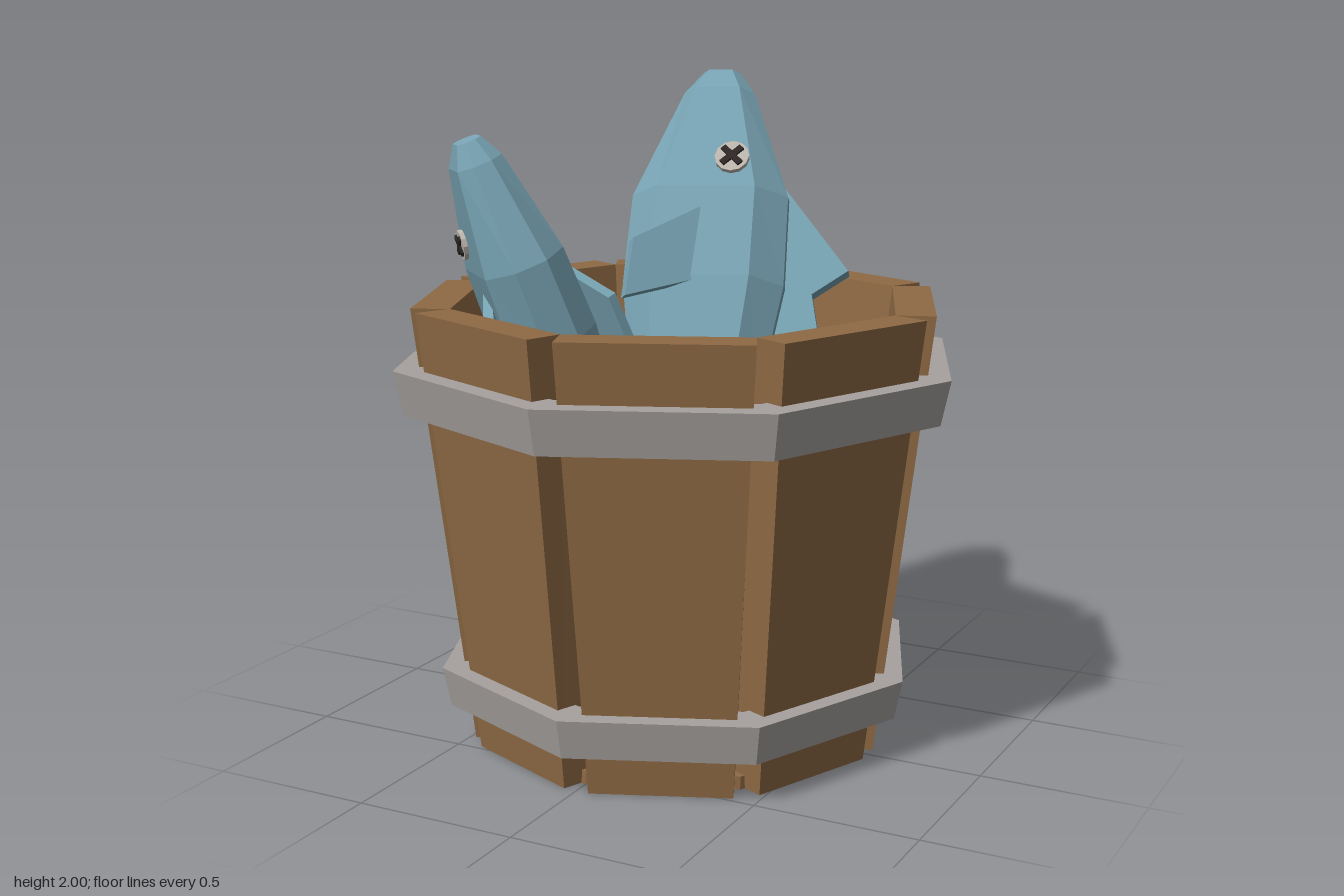
import * as THREE from 'three';

const mat = (name, color) => {
  const m = new THREE.MeshStandardMaterial({ color, flatShading: true });
  m.name = name;
  return m;
};

function add(parent, name, geometry, material) {
  const mesh = new THREE.Mesh(geometry, material);
  mesh.name = name;
  parent.add(mesh);
  return mesh;
}

// Wooden plank: a box tapered to the bucket, with its outer edges trimmed
function staveGeometry() {
  const geo = new THREE.BoxGeometry(1, 1, 1);
  const p = geo.attributes.position;
  const half = Math.PI / 8, gap = 0.043;
  for (let i = 0; i < p.count; i++) {
    const top = p.getY(i) > 0, outer = p.getZ(i) > 0;
    const r = outer ? (top ? 0.827 : 0.66) : (top ? 0.7 : 0.54);
    const w = r * Math.sin(half) - (outer ? gap : 0);
    p.setXYZ(i, Math.sign(p.getX(i)) * w, top ? 1.35 : 0, r * Math.cos(half));
  }
  geo.computeVertexNormals();
  return geo;
}

// Eight-sided metal band
function hoopGeometry(y0, y1, r0, r1, inner) {
  const pts = [[r0, y0], [r1, y1], [inner, y1], [inner, y0], [r0, y0]];
  return new THREE.LatheGeometry(pts.map(([x, y]) => new THREE.Vector2(x, y)), 8);
}

// Fish body: octagonal sections [distance from nose, half width, half thickness]
function bodyGeometry() {
  const sections = [
    [0, 0.06, 0.045], [0.08, 0.115, 0.085], [0.45, 0.25, 0.15],
    [0.75, 0.255, 0.16], [1.1, 0.2, 0.13], [1.48, 0.07, 0.05],
  ];
  const outline = [[1, 0.4], [0.62, 1], [-0.62, 1], [-1, 0.4], [-1, -0.4], [-0.62, -1], [0.62, -1], [1, -0.4]];
  const n = outline.length, pos = [], idx = [];
  for (const [t, w, h] of sections) for (const [x, z] of outline) pos.push(x * w, -t, z * h);
  for (let s = 0; s < sections.length - 1; s++) {
    for (let i = 0; i < n; i++) {
      const a = s * n + i, b = s * n + (i + 1) % n;
      idx.push(a, b, a + n, b, b + n, a + n);
    }
  }
  const last = (sections.length - 1) * n;
  for (let i = 1; i < n - 1; i++) {
    idx.push(0, i + 1, i);
    idx.push(last, last + i, last + i + 1);
  }
  // make every face point outwards
  for (let f = 0; f < idx.length; f += 3) {
    const [a, b, c] = [0, 1, 2].map(k => new THREE.Vector3().fromArray(pos, idx[f + k] * 3));
    const normal = b.clone().sub(a).cross(c.clone().sub(a));
    const mid = a.add(b).add(c).divideScalar(3).sub(new THREE.Vector3(0, -0.7, 0));
    if (normal.dot(mid) < 0) [idx[f + 1], idx[f + 2]] = [idx[f + 2], idx[f + 1]];
  }
  const geo = new THREE.BufferGeometry();
  geo.setAttribute('position', new THREE.Float32BufferAttribute(pos, 3));
  geo.setIndex(idx);
  geo.computeVertexNormals();
  return geo;
}

// Flat fin cut from an outline
function finGeometry(points, depth) {
  const shape = new THREE.Shape(points.map(([x, y]) => new THREE.Vector2(x, y)));
  const geo = new THREE.ExtrudeGeometry(shape, { depth, bevelEnabled: false });
  return geo.translate(0, 0, -depth / 2);
}

// Fish with its nose at the origin, pointing up, back towards +x
function makeFish(name, m) {
  const fish = new THREE.Group();
  fish.name = name;
  add(fish, 'body', bodyGeometry(), m.skin);
  add(fish, 'dorsalFin', finGeometry(
    [[0.15, -0.4], [0.23, -0.4], [0.45, -0.68], [0.34, -0.76], [0.39, -1.0], [0.15, -0.95]], 0.05), m.skin);
  add(fish, 'tailFin', finGeometry(
    [[0.06, -1.4], [0.27, -1.65], [0.22, -1.78], [0, -1.62], [-0.22, -1.78], [-0.27, -1.65], [-0.06, -1.4]], 0.05), m.skin);

  for (const side of [1, -1]) {
    const fin = add(fish, 'sideFin', finGeometry(
      [[-0.03, -0.5], [0.21, -0.67], [0.22, -0.86], [-0.03, -0.75]], 0.04), m.skin);
    fin.position.set(-0.02, 0, side * 0.135);
    fin.rotation.y = -side * 2.62;

    const eye = new THREE.Group();
    eye.name = 'eye';
    eye.position.set(0.075, -0.35, side * 0.137);
    eye.rotation.x = side > 0 ? -0.17 : Math.PI + 0.17;
    add(eye, 'eyeDisc', new THREE.CylinderGeometry(0.055, 0.055, 0.024, 12).rotateX(Math.PI / 2), m.eye);
    for (const turn of [1, -1]) {
      const bar = add(eye, 'eyeCross', new THREE.BoxGeometry(0.084, 0.02, 0.009), m.dark);
      bar.position.z = 0.016;
      bar.rotation.z = turn * Math.PI / 4;
    }
    fish.add(eye);
  }
  return fish;
}

// Lean a fish: nose position, back direction and nose direction
function place(fish, nose, back, up, scale) {
  const x = new THREE.Vector3(...back).normalize();
  const y = new THREE.Vector3(...up).normalize();
  const z = x.clone().cross(y).normalize();
  x.crossVectors(y, z);
  fish.quaternion.setFromRotationMatrix(new THREE.Matrix4().makeBasis(x, y, z));
  fish.position.set(...nose);
  fish.scale.setScalar(scale);
  return fish;
}

export function createModel() {
  const m = {
    wood: mat('wood', 0x8f6a44),
    metal: mat('metal', 0xa6a19e),
    skin: mat('fishSkin', 0x77a2b2),
    eye: mat('eyeWhite', 0xbdb5ae),
    dark: mat('eyeDark', 0x2c2725),
  };
  const model = new THREE.Group();
  model.name = 'fishBucket';

  // Bucket
  const bucket = new THREE.Group();
  bucket.name = 'bucket';
  const plank = staveGeometry();
  for (let i = 0; i < 8; i++) {
    add(bucket, 'stave', plank, m.wood).rotation.y = (i + 0.5) * Math.PI / 4;
  }
  add(bucket, 'floor', new THREE.CylinderGeometry(0.59, 0.59, 0.04, 8).translate(0, 0.02, 0), m.wood);
  add(bucket, 'upperHoop', hoopGeometry(1.04, 1.175, 0.845, 0.875, 0.74), m.metal);
  add(bucket, 'lowerHoop', hoopGeometry(0.13, 0.25, 0.725, 0.75, 0.62), m.metal);
  model.add(bucket);

  // Fish
  model.add(place(makeFish('largeFish', m), [-0.17, 1.975, -0.64], [0.95, 0, -0.29], [-0.15, 0.87, -0.46], 1));
  model.add(place(makeFish('smallFish', m), [-0.51, 1.83, 0.365], [-0.72, 0, -0.69], [-0.25, 0.93, 0.25], 0.84));
  return model;
}
